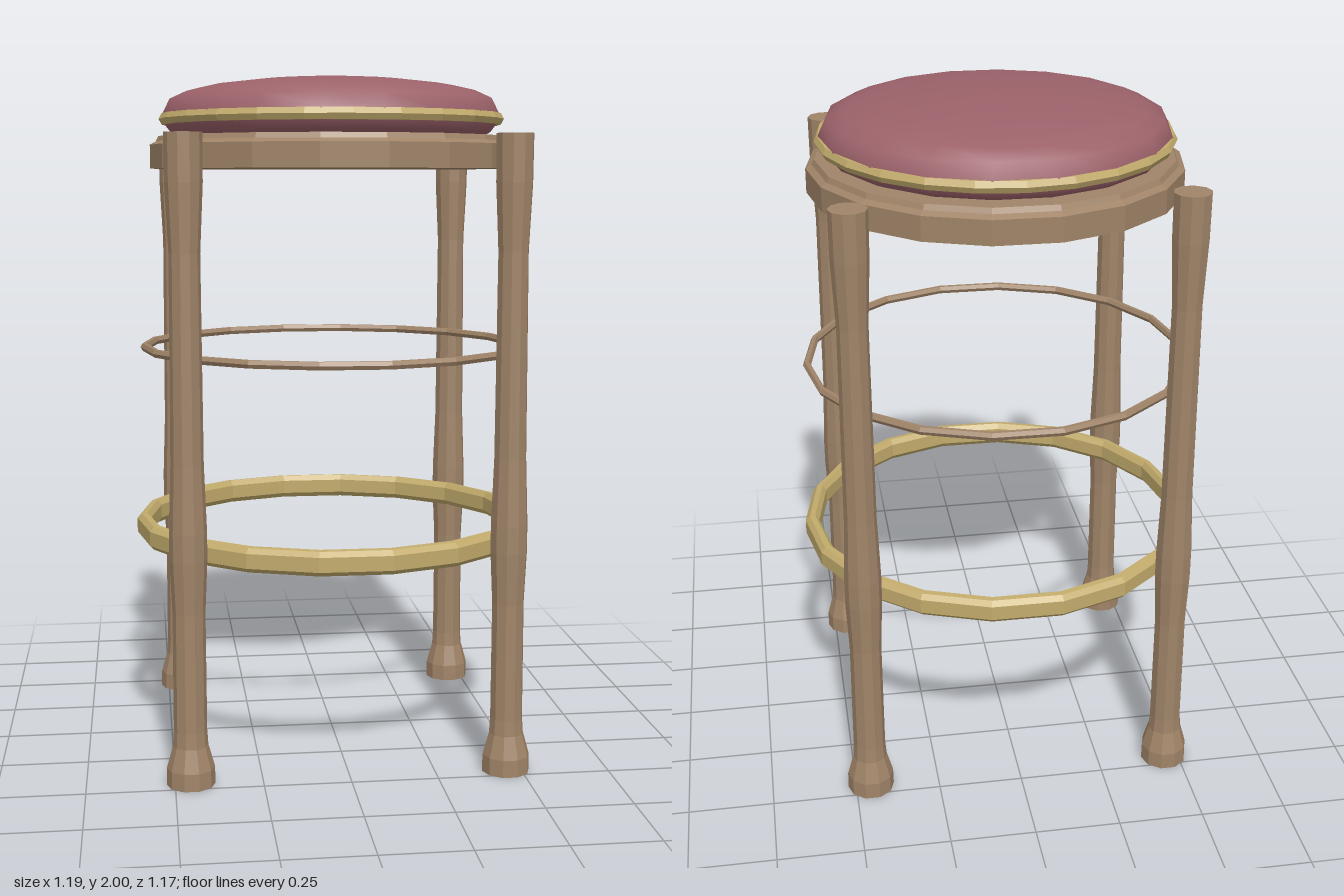
import * as THREE from 'three';

const wood = new THREE.MeshStandardMaterial({ name: 'wood', color: 0xa08468 });
const brass = new THREE.MeshStandardMaterial({ name: 'brass', color: 0xc2ab6c });
const fabric = new THREE.MeshStandardMaterial({ name: 'fabric', color: 0x9c626a });

// Turned part from [radius, height] pairs, with a corner on the +x axis
function turned(name, profile, sides, material, smooth = false) {
  const points = profile.map(([r, y]) => new THREE.Vector2(r, y));
  let geometry = new THREE.LatheGeometry(points, sides, Math.PI / 2);
  if (!smooth) {
    geometry = geometry.toNonIndexed();
    geometry.computeVertexNormals();
  }
  const mesh = new THREE.Mesh(geometry, material);
  mesh.name = name;
  return mesh;
}

// Closed ring with an elliptical cross-section of few corners
function ring(name, radius, y, halfWidth, halfHeight, corners, sides, material, turn = 0) {
  const profile = [];
  for (let i = 0; i <= corners; i++) {
    const a = (i / corners) * Math.PI * 2 + turn;
    profile.push([radius + Math.cos(a) * halfWidth, y + Math.sin(a) * halfHeight]);
  }
  return turned(name, profile, sides, material);
}

export function createModel() {
  const stool = new THREE.Group();
  stool.name = 'barStool';

  // Four turned legs with flared feet
  const legProfile = [
    [0, 0], [0.069, 0], [0.068, 0.05], [0.05, 0.115], [0.047, 0.16], [0.046, 0.5],
    [0.053, 0.65], [0.053, 0.73], [0.046, 0.92], [0.043, 1.5], [0.052, 1.69],
    [0.053, 1.825], [0, 1.825],
  ];
  for (const x of [-1, 1]) {
    for (const z of [-1, 1]) {
      const leg = turned((z > 0 ? 'front' : 'back') + (x > 0 ? 'Left' : 'Right') + 'Leg', legProfile, 10, wood);
      leg.position.set(x * 0.455, 0, z * 0.455);
      stool.add(leg);
    }
  }

  // Round seat frame with a stepped upper edge
  stool.add(turned('seatFrame', [
    [0, 1.73], [0.54, 1.73], [0.54, 1.8], [0.522, 1.81], [0.515, 1.825], [0, 1.825],
  ], 18, wood));

  // Padded cushion
  stool.add(turned('cushion', [
    [0, 1.82], [0.44, 1.82], [0.478, 1.836], [0.5, 1.865], [0.502, 1.89], [0.48, 1.934],
    [0.43, 1.957], [0.36, 1.973], [0.22, 1.99], [0.1, 1.998], [0, 2.0],
  ], 18, fabric, true));

  // Piping that follows the widest line of the cushion
  stool.add(ring('piping', 0.496, 1.875, 0.017, 0.019, 6, 24, brass));

  // Thin wooden stretcher ring and the heavier foot ring
  stool.add(ring('stretcherRing', 0.565, 1.2, 0.012, 0.013, 6, 18, wood));
  stool.add(turned('footRing', [
    [0.565, 0.62], [0.582, 0.622], [0.595, 0.635], [0.595, 0.677], [0.582, 0.691],
    [0.565, 0.693], [0.553, 0.677], [0.553, 0.635], [0.565, 0.62],
  ], 18, brass));

  return stool;
}
